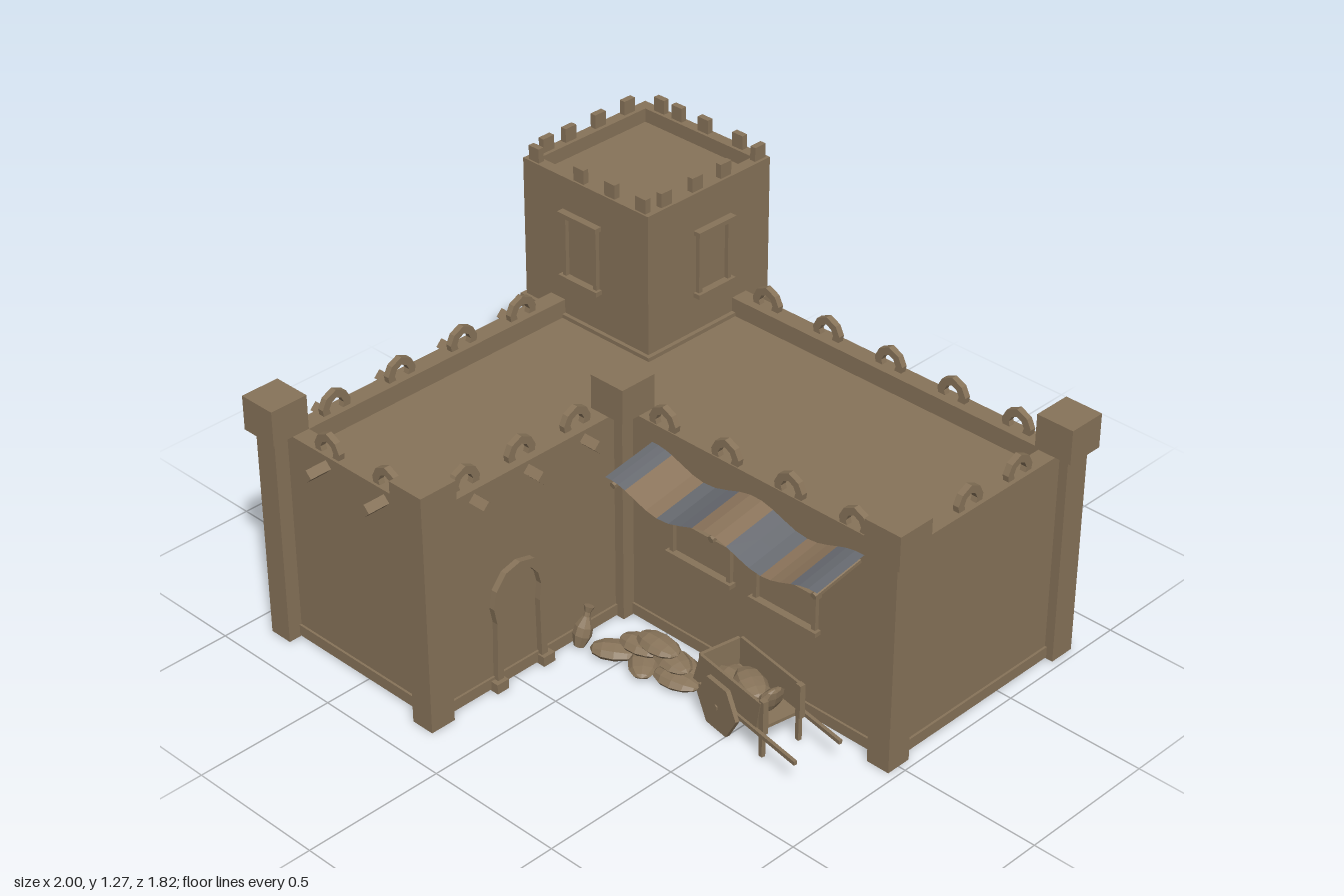
import * as THREE from 'three';

const mat = (name, color, extra = {}) => {
  const m = new THREE.MeshStandardMaterial({ color, flatShading: true, ...extra });
  m.name = name;
  return m;
};

export function createModel() {
  const clay = mat('clay', 0x877359);
  const clothTan = mat('clothTan', 0x8a735a, { side: THREE.DoubleSide });
  const clothGrey = mat('clothGrey', 0x676a70, { side: THREE.DoubleSide });
  const model = new THREE.Group();
  model.name = 'fort';

  const add = (name, geo, parent = model, m = clay) => {
    const mesh = new THREE.Mesh(geo, m);
    mesh.name = name;
    parent.add(mesh);
    return mesh;
  };
  // Box given by its limits on each axis
  const box = (name, x0, x1, y0, y1, z0, z1, parent) => {
    const b = add(name, new THREE.BoxGeometry(x1 - x0, y1 - y0, z1 - z0), parent);
    b.position.set((x0 + x1) / 2, (y0 + y1) / 2, (z0 + z1) / 2);
    return b;
  };
  const group = (name, x, y, z, turn = 0) => {
    const g = new THREE.Group();
    g.name = name;
    g.position.set(x, y, z);
    g.rotation.y = turn;
    model.add(g);
    return g;
  };
  // Upright extrusion of a ground plan, with an optional inner outline
  const slab = (name, outer, inner, y0, y1, parent) => {
    const s = new THREE.Shape(outer);
    if (inner) s.holes.push(new THREE.Path(inner));
    const g = new THREE.ExtrudeGeometry(s, { depth: y1 - y0, bevelEnabled: false });
    g.rotateX(-Math.PI / 2);
    add(name, g, parent).position.y = y0;
  };

  // L-shaped ground plan, grown by d
  const plan = d => [
    [-0.865 - d, 0.825 + d], [-0.19 + d, 0.825 + d], [-0.19 + d, d],
    [0.94 + d, d], [0.94 + d, -0.79 - d], [-0.865 - d, -0.79 - d],
  ].map(([x, z]) => new THREE.Vector2(x, -z));
  slab('walls', plan(0), plan(-0.008), 0.01, 0.7);
  slab('parapet', plan(0), plan(-0.065), 0.7, 0.765);
  slab('wallSkirt', plan(0.008), plan(-0.004), 0.005, 0.045);
  slab('roof', plan(-0.004), null, 0.69, 0.701);

  // Corner pillars with square caps
  for (const [x, z] of [[-0.87, 0.83], [-0.197, 0.83], [-0.197, 0], [0.93, 0], [0.93, -0.785]]) {
    box('pillar', x - 0.043, x + 0.043, 0, 0.77, z - 0.047, z + 0.047);
    box('pillarCap', x - 0.069, x + 0.069, 0.765, 0.887, z - 0.07, z + 0.07);
  }

  // Arch band from half profiles, mirrored across x = 0
  const archBand = (outer, inner, depth) => {
    const flip = p => p.slice(0, -1).reverse().map(([x, y]) => [-x, y]);
    const pts = [...outer, ...flip(outer), ...inner.map(([x, y]) => [-x, y]),
      ...inner.slice(0, -1).reverse()];
    const s = new THREE.Shape(pts.map(([x, y]) => new THREE.Vector2(x, y)));
    return new THREE.ExtrudeGeometry(s, { depth, bevelEnabled: false }).translate(0, 0, -depth / 2);
  };

  // Small arches along the parapet
  const crest = archBand(
    [[0.053, 0], [0.057, 0.025], [0.04, 0.058], [0, 0.077]],
    [[0.024, 0], [0.03, 0.02], [0.02, 0.04], [0, 0.05]], 0.022);
  const crestAt = (x, z, turn) => {
    const c = add('parapetArch', crest);
    c.position.set(x, 0.762, z);
    c.rotation.y = turn;
  };
  const Q = Math.PI / 2;
  for (const x of [-0.03, 0.235, 0.495, 0.755]) crestAt(x, -0.015, 0);
  for (const x of [-0.295, -0.03, 0.235, 0.495, 0.755]) crestAt(x, -0.765, 0);
  for (const x of [-0.65, -0.385]) crestAt(x, 0.805, 0);
  for (const z of [-0.565, -0.335]) crestAt(0.915, z, Q);
  for (const z of [-0.165, 0.095, 0.36, 0.63]) crestAt(-0.83, z, Q);
  for (const z of [0.175, 0.41, 0.64]) crestAt(-0.23, z, Q);

  // Square roof beams sticking out of the walls
  const beam = new THREE.CylinderGeometry(0.023, 0.023, 0.08, 4).rotateX(Q);
  const beamAt = (x, z, turn) => {
    const b = add('roofBeam', beam);
    b.position.set(x, 0.73, z);
    b.rotation.y = turn;
  };
  for (const x of [-0.645, -0.38]) beamAt(x, 0.867, 0);
  for (const z of [-0.165, 0.1, 0.365, 0.63]) beamAt(-0.883, z, Q);
  for (const z of [0.172, 0.41, 0.635]) beamAt(-0.165, z, Q);

  // Corner tower, open underneath
  const tower = group('tower', -0.7, 0, -0.615);
  const rect = (w, d) => [[-w, -d], [w, -d], [w, d], [-w, d]].map(p => new THREE.Vector2(...p));
  slab('towerWalls', rect(0.283, 0.28), rect(0.275, 0.272), 0.01, 1.17, tower);
  slab('towerRoof', rect(0.28, 0.277), null, 1.16, 1.171, tower);
  slab('towerParapet', rect(0.283, 0.28), rect(0.243, 0.24), 1.17, 1.22, tower);
  slab('towerBase', rect(0.3, 0.296), rect(0.279, 0.276), 0, 0.045, tower);
  slab('towerBand', rect(0.298, 0.294), rect(0.279, 0.276), 0.665, 0.715, tower);

  // Unevenly spaced merlons on the four tower edges
  const merlon = (x, z, w, d) => box('merlon', x - w, x + w, 1.22, 1.27, z - d, z + d, tower);
  for (const x of [-0.19, -0.11, 0.01, 0.165]) merlon(x, -0.262, 0.023, 0.011);
  for (const x of [-0.24, -0.035, 0.105, 0.242]) merlon(x, 0.262, 0.023, 0.011);
  for (const z of [-0.18, -0.045, 0.09, 0.19]) merlon(-0.267, z, 0.011, 0.024);
  for (const z of [-0.245, -0.085, 0.045, 0.185]) merlon(0.262, z, 0.011, 0.024);

  // Window frames: two posts between a lintel and a sill
  const frame = (x, y, z, w, h, turn) => {
    const g = group('windowFrame', x, y, z, turn);
    for (const s of [-1, 1]) {
      const c = s * (w / 2 - 0.018);
      box('windowPost', c - 0.008, c + 0.008, -h / 2, h / 2, -0.02, 0.015, g);
      const e = s * (h / 2 - 0.006);
      box(s > 0 ? 'lintel' : 'sill', -w / 2, w / 2, e - 0.008, e + 0.008, -0.02, 0.026, g);
    }
  };
  frame(0.15, 0.402, 0, 0.28, 0.15, 0);
  frame(0.505, 0.402, 0, 0.28, 0.15, 0);
  frame(-0.715, 0.978, -0.335, 0.175, 0.245, 0);
  frame(-0.417, 0.965, -0.628, 0.17, 0.24, Q);

  // Horseshoe doorway
  const door = group('doorway', -0.183, 0, 0.478, Q);
  add('doorArch', archBand(
    [[0.108, 0], [0.102, 0.25], [0.114, 0.31], [0.102, 0.37], [0.06, 0.42], [0, 0.435]],
    [[0.083, 0], [0.078, 0.25], [0.086, 0.31], [0.075, 0.355], [0.045, 0.392], [0, 0.405]],
    0.03), door);
  for (const s of [-1, 1]) box('doorFoot', s * 0.1 - 0.024, s * 0.1 + 0.024, 0, 0.035, -0.02, 0.03, door);

  // Striped awning with a zigzag sag and a gentle slope
  const awning = group('awning', 0, 0, 0);
  const edges = [-0.07, 0.015, 0.15, 0.3, 0.44, 0.58, 0.7, 0.805];
  for (let i = 0; i < 7; i++) {
    const w = edges[i + 1] - edges[i];
    const g = new THREE.PlaneGeometry(w, 0.205, 3, 2).rotateX(-Q);
    g.translate(edges[i] + w / 2, 0, 0.1025);
    const p = g.attributes.position;
    for (let k = 0; k < p.count; k++) {
      const wave = Math.cos((p.getX(k) - 0.37) * 2 * Math.PI / 0.42);
      p.setY(k, 0.672 + 0.025 * wave - 0.16 * p.getZ(k));
    }
    g.computeVertexNormals();
    add('awningStripe', g, awning, i % 2 ? clothTan : clothGrey);
  }
  for (const x of [-0.045, 0.37, 0.785]) {
    const pole = add('awningPole', new THREE.CylinderGeometry(0.012, 0.012, 0.2, 6).rotateX(Q), awning);
    pole.position.set(x, 0.655, 0.1);
    pole.rotation.x = 0.16;
  }

  // Grain sacks: flattened spheres, pinched at one end
  const sackGeo = new THREE.SphereGeometry(1, 8, 6).rotateZ(Q);
  const sp = sackGeo.attributes.position;
  for (let k = 0; k < sp.count; k++) sp.setY(k, sp.getY(k) * (1 - 0.25 * sp.getX(k)));
  const sack = (x, y, z, turn, parent = model, l = 0.085) => {
    const s = add('sack', sackGeo, parent);
    s.position.set(x, y, z);
    s.scale.set(l, 0.026, 0.052);
    s.rotation.y = turn;
    return s;
  };
  [[-0.03, 0.026, 0.205, 0.6], [0.08, 0.026, 0.19, -0.9], [0.215, 0.026, 0.18, 0.2], [0.03, 0.026, 0.12, 0.1],
    [0.18, 0.026, 0.12, -0.3], [0.05, 0.065, 0.165, 0.2], [0.17, 0.065, 0.155, -0.2], [0.115, 0.098, 0.16, 0],
  ].forEach(a => sack(...a));

  // Clay jar leaning beside the doorway
  const jarShape = [[0, 0], [0.018, 0], [0.032, 0.04], [0.03, 0.07], [0.012, 0.105], [0.011, 0.12], [0.018, 0.14], [0, 0.14]];
  const jar = add('jar', new THREE.LatheGeometry(jarShape.map(p => new THREE.Vector2(...p)), 8));
  jar.position.set(-0.147, 0.008, 0.255);
  jar.rotation.x = -0.35;

  // Hand cart, turned slightly from the wall
  const cart = group('handCart', 0.5, 0, 0.155, -0.17);
  box('cartFloor', -0.16, 0.15, 0.09, 0.102, -0.075, 0.075, cart);
  for (const s of [-1, 1]) {
    const side = new THREE.Shape([[-0.18, 0.095], [0.14, 0.095], [0.16, 0.205], [-0.145, 0.205]]
      .map(p => new THREE.Vector2(...p)));
    add('cartSide', new THREE.ExtrudeGeometry(side, { depth: 0.01, bevelEnabled: false }), cart)
      .position.z = s * 0.078 - 0.005;
    const wheel = add('cartWheel', new THREE.CylinderGeometry(0.1, 0.1, 0.016, 6).rotateY(Q).rotateX(Q), cart);
    wheel.position.set(-0.03, 0.087, s * 0.098);
    box('cartHandle', -0.14, 0.34, 0.09, 0.104, s * 0.086 - 0.006, s * 0.086 + 0.006, cart);
    box('cartLeg', 0.148, 0.164, 0, 0.1, s * 0.07 - 0.007, s * 0.07 + 0.007, cart);
    box('cartPost', 0.15, 0.172, 0.09, 0.213, s * 0.07 - 0.01, s * 0.07 + 0.01, cart);
  }
  box('cartFront', -0.16, -0.148, 0.1, 0.2, -0.075, 0.075, cart);
  const axle = add('cartAxle', new THREE.CylinderGeometry(0.01, 0.01, 0.22, 6).rotateX(Q), cart);
  axle.position.set(-0.03, 0.085, 0);
  sack(-0.06, 0.13, 0, 0.2, cart, 0.08);
  sack(0.02, 0.165, 0.01, -0.3, cart, 0.08);
  sack(0.1, 0.15, 0, 0, cart, 0.06).rotation.z = 1.1;

  return model;
}
